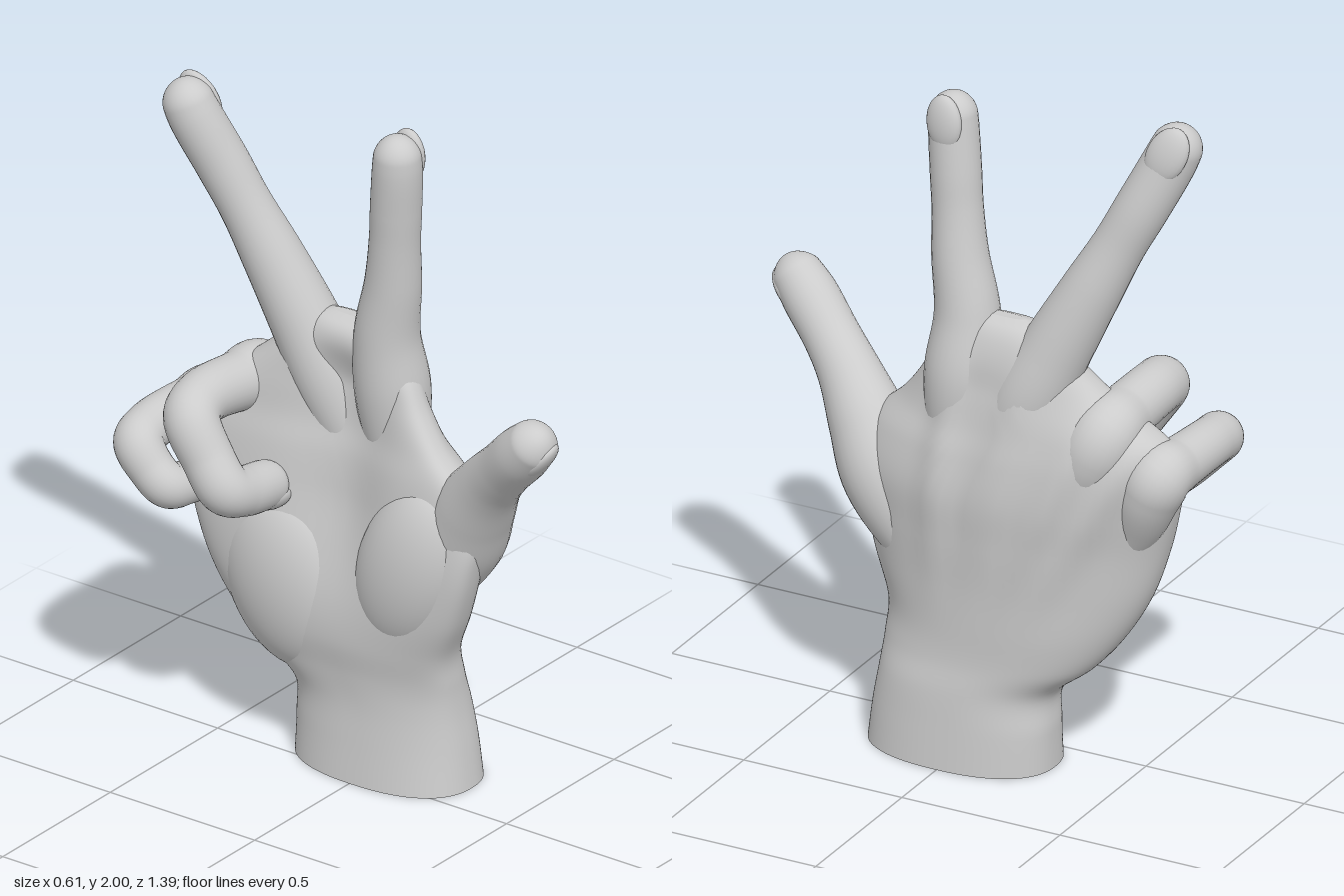
import * as THREE from 'three';

const skin = new THREE.MeshStandardMaterial({ color: 0xcccccc });
const V = (x, y, z) => new THREE.Vector3(x, y, z);
const gauss = (d, w) => Math.exp(-(d * d) / (w * w));
const signedPow = (v, p) => Math.sign(v) * Math.pow(Math.abs(v), p);

// Smoothly interpolated rows of numbers, sampled at t in 0..1
function rowSampler(rows) {
  const curves = rows[0].map((_, c) =>
    new THREE.SplineCurve(rows.map((r, i) => new THREE.Vector2(i, r[c]))));
  return t => curves.map(c => c.getPoint(t).y);
}

// Skin over a list of closed rings, with flat end caps
function loft(rings) {
  const n = rings[0].length, pos = [], idx = [];
  rings.forEach(r => r.forEach(p => pos.push(p.x, p.y, p.z)));
  for (let i = 0; i < rings.length - 1; i++)
    for (let j = 0; j < n; j++) {
      const a = i * n + j, b = i * n + (j + 1) % n;
      idx.push(a, b, a + n, b, b + n, a + n);
    }
  [rings[0], rings[rings.length - 1]].forEach((ring, end) => {
    const start = pos.length / 3, mid = V(0, 0, 0);
    ring.forEach(p => { pos.push(p.x, p.y, p.z); mid.addScaledVector(p, 1 / n); });
    pos.push(mid.x, mid.y, mid.z);
    for (let j = 0; j < n; j++) {
      const a = start + j, b = start + (j + 1) % n;
      end ? idx.push(a, b, start + n) : idx.push(b, a, start + n);
    }
  });
  const g = new THREE.BufferGeometry();
  g.setAttribute('position', new THREE.Float32BufferAttribute(pos, 3));
  g.setIndex(idx);
  g.computeVertexNormals();
  return g;
}

// Round limb through [x, y, z, radius] stations, with a domed tip
function limb(stations, steps = 90, sides = 28) {
  const path = new THREE.CatmullRomCurve3(stations.map(s => V(s[0], s[1], s[2])), false, 'centripetal');
  const radius = rowSampler(stations.map(s => [s[3]]));
  const end = path.getPoint(1), tipR = stations[stations.length - 1][3];
  const normal = V(0.3, 0.1, 1), rings = [];
  for (let i = 0; i <= steps; i++) {
    const t = 1 - Math.pow(1 - i / steps, 1.8);
    const p = path.getPoint(t), tan = path.getTangent(t);
    normal.addScaledVector(tan, -normal.dot(tan)).normalize();
    const side = tan.clone().cross(normal);
    const k = 1 - Math.min(p.distanceTo(end) / tipR, 1);
    const r = Math.max(radius(t)[0] * Math.sqrt(1 - k * k), 0.0005);
    rings.push(Array.from({ length: sides }, (_, j) => {
      const a = j / sides * Math.PI * 2;
      return p.clone().addScaledVector(normal, r * Math.cos(a)).addScaledVector(side, r * Math.sin(a));
    }));
  }
  return loft(rings);
}

// Wrist and palm: stacked rounded sections with tendons and a hollow
function palmGeometry() {
  // y, z at little-finger side, z at thumb side, x at palm, x at back, bend
  const sample = rowSampler([
    [0, -0.28, 0.29, -0.06, 0.30, 0],
    [0.12, -0.28, 0.275, -0.045, 0.29, 0],
    [0.23, -0.285, 0.26, -0.035, 0.28, 0.01],
    [0.32, -0.39, 0.255, -0.04, 0.267, 0.02],
    [0.42, -0.47, 0.26, -0.055, 0.265, 0.04],
    [0.55, -0.54, 0.315, -0.06, 0.268, 0.06],
    [0.7, -0.59, 0.36, -0.05, 0.282, 0.08],
    [0.83, -0.625, 0.375, -0.035, 0.292, 0.08],
    [0.95, -0.65, 0.32, -0.02, 0.28, 0.07],
    [1.04, -0.61, 0.225, 0, 0.262, 0.06],
    [1.13, -0.48, 0.155, 0.01, 0.245, 0.04],
    [1.22, -0.37, 0.105, 0.02, 0.225, 0.02],
    [1.29, -0.31, 0.05, 0.035, 0.195, 0],
    [1.335, -0.25, 0, 0.06, 0.165, 0],
    [1.355, -0.18, -0.05, 0.1, 0.13, 0],
  ]);
  const knuckles = [0.01, -0.21, -0.43, -0.59];
  const rings = [], rows = 90, sides = 96;
  for (let i = 0; i <= rows; i++) {
    const [y, z0, z1, x0, x1, bend] = sample(i / rows);
    const rise = THREE.MathUtils.smoothstep(y, 0.4, 0.85) * (1 - THREE.MathUtils.smoothstep(y, 1.15, 1.33));
    rings.push(Array.from({ length: sides }, (_, j) => {
      const a = j / sides * Math.PI * 2;
      const u = signedPow(Math.cos(a), 0.85), s = signedPow(Math.sin(a), 0.85);
      const z = (z0 + z1) / 2 + u * (z1 - z0) / 2;
      let x = (x0 + x1) / 2 + s * (x1 - x0) / 2 - bend * Math.pow(Math.abs(u), u > 0 ? 3.5 : 2);
      if (s > 0) knuckles.forEach((kz, k) => {
        const line = THREE.MathUtils.lerp(0.06 - 0.07 * k, kz, (y - 0.3) / 0.8);
        x += (0.022 * gauss(z - line, 0.05) - 0.006) * rise * s;
      });
      else x -= 0.06 * gauss(z + 0.08, 0.15) * rise * s;
      return V(x, y, z);
    }));
  }
  return loft(rings);
}

export function createModel() {
  const hand = new THREE.Group();
  hand.name = 'hand';
  const add = (name, geometry) => {
    const m = new THREE.Mesh(geometry, skin);
    m.name = name;
    hand.add(m);
    return m;
  };
  const pad = (name, at, size, tilt) => {
    const m = add(name, new THREE.SphereGeometry(1, 40, 28));
    m.position.set(...at);
    m.scale.set(...size);
    m.rotation.x = tilt;
  };
  // Nail: shallow oval lying on the finger, lengthwise along the finger
  const nail = (name, at, along, normal, width, length) => {
    const m = add(name, new THREE.SphereGeometry(1, 24, 16));
    const y = V(...along).normalize(), z = V(...normal);
    z.addScaledVector(y, -z.dot(y)).normalize();
    m.quaternion.setFromRotationMatrix(new THREE.Matrix4().makeBasis(y.clone().cross(z), y, z));
    m.position.set(...at).addScaledVector(z, 0.045);
    m.scale.set(width, length, 0.03);
  };

  add('palmAndWrist', palmGeometry());
  pad('thumbPad', [0.04, 0.68, 0.15], [0.12, 0.28, 0.17], 0.35);
  pad('heelPad', [0.04, 0.54, -0.28], [0.125, 0.29, 0.21], -0.3);

  // Fingers: each starts thin, deep inside the palm, and swells out of it
  add('thumb', limb([
    [0.12, 0.42, 0.06, 0.02], [0.12, 0.6, 0.16, 0.09], [0.11, 0.77, 0.26, 0.125],
    [0.075, 0.91, 0.34, 0.112], [0.035, 1.02, 0.42, 0.09], [0, 1.1, 0.495, 0.081],
    [-0.035, 1.185, 0.58, 0.081], [-0.053, 1.24, 0.635, 0.072], [-0.065, 1.28, 0.675, 0.06]]));
  add('indexFinger', limb([
    [0.13, 0.7, 0.04, 0.02], [0.135, 0.95, 0.025, 0.08], [0.13, 1.15, 0.01, 0.108],
    [0.11, 1.33, 0.005, 0.094], [0.1, 1.5, 0.033, 0.081], [0.088, 1.64, 0.048, 0.073],
    [0.08, 1.75, 0.058, 0.073], [0.07, 1.88, 0.07, 0.071], [0.065, 1.98, 0.073, 0.062]]));
  add('middleFinger', limb([
    [0.13, 0.7, -0.06, 0.02], [0.135, 0.95, -0.13, 0.08], [0.13, 1.12, -0.2, 0.108],
    [0.11, 1.29, -0.28, 0.1], [0.08, 1.49, -0.38, 0.086], [0.055, 1.62, -0.445, 0.076],
    [0.03, 1.74, -0.505, 0.077], [-0.01, 1.89, -0.575, 0.076], [-0.025, 1.99, -0.615, 0.068]]));
  add('ringFinger', limb([
    [0.11, 0.62, -0.24, 0.02], [0.13, 0.86, -0.35, 0.075], [0.14, 1.0, -0.41, 0.102],
    [0.115, 1.07, -0.44, 0.1], [0.02, 1.085, -0.445, 0.085], [-0.14, 1.095, -0.45, 0.08],
    [-0.215, 1.07, -0.43, 0.08], [-0.228, 0.97, -0.365, 0.075], [-0.222, 0.89, -0.31, 0.076],
    [-0.16, 0.86, -0.295, 0.072], [-0.06, 0.84, -0.295, 0.07], [0.01, 0.825, -0.295, 0.06]], 130));
  add('littleFinger', limb([
    [0.07, 0.56, -0.4, 0.02], [0.09, 0.78, -0.52, 0.07], [0.11, 0.91, -0.575, 0.09],
    [0.1, 0.96, -0.598, 0.092], [0.02, 0.965, -0.61, 0.078], [-0.15, 0.965, -0.62, 0.071],
    [-0.225, 0.945, -0.605, 0.072], [-0.235, 0.885, -0.555, 0.066], [-0.22, 0.84, -0.51, 0.066],
    [-0.15, 0.825, -0.495, 0.062], [-0.06, 0.815, -0.49, 0.06], [0, 0.81, -0.49, 0.054]], 130));

  // Nails
  nail('thumbNail', [-0.045, 1.215, 0.61], [-0.2, 0.6, 0.6], [0.15, -0.6, 0.7], 0.06, 0.08);
  nail('indexNail', [0.073, 1.9, 0.07], [-0.07, 1, 0.05], [1, 0, 0.1], 0.056, 0.082);
  nail('middleNail', [-0.008, 1.91, -0.583], [-0.2, 0.85, -0.4], [1, 0.1, 0], 0.06, 0.088);
  nail('ringNail', [-0.045, 0.838, -0.295], [1, -0.18, 0], [0, -0.8, 0.6], 0.048, 0.06);
  nail('littleNail', [-0.05, 0.815, -0.49], [1, -0.1, 0], [0, -0.8, 0.6], 0.04, 0.05);
  return hand;
}
